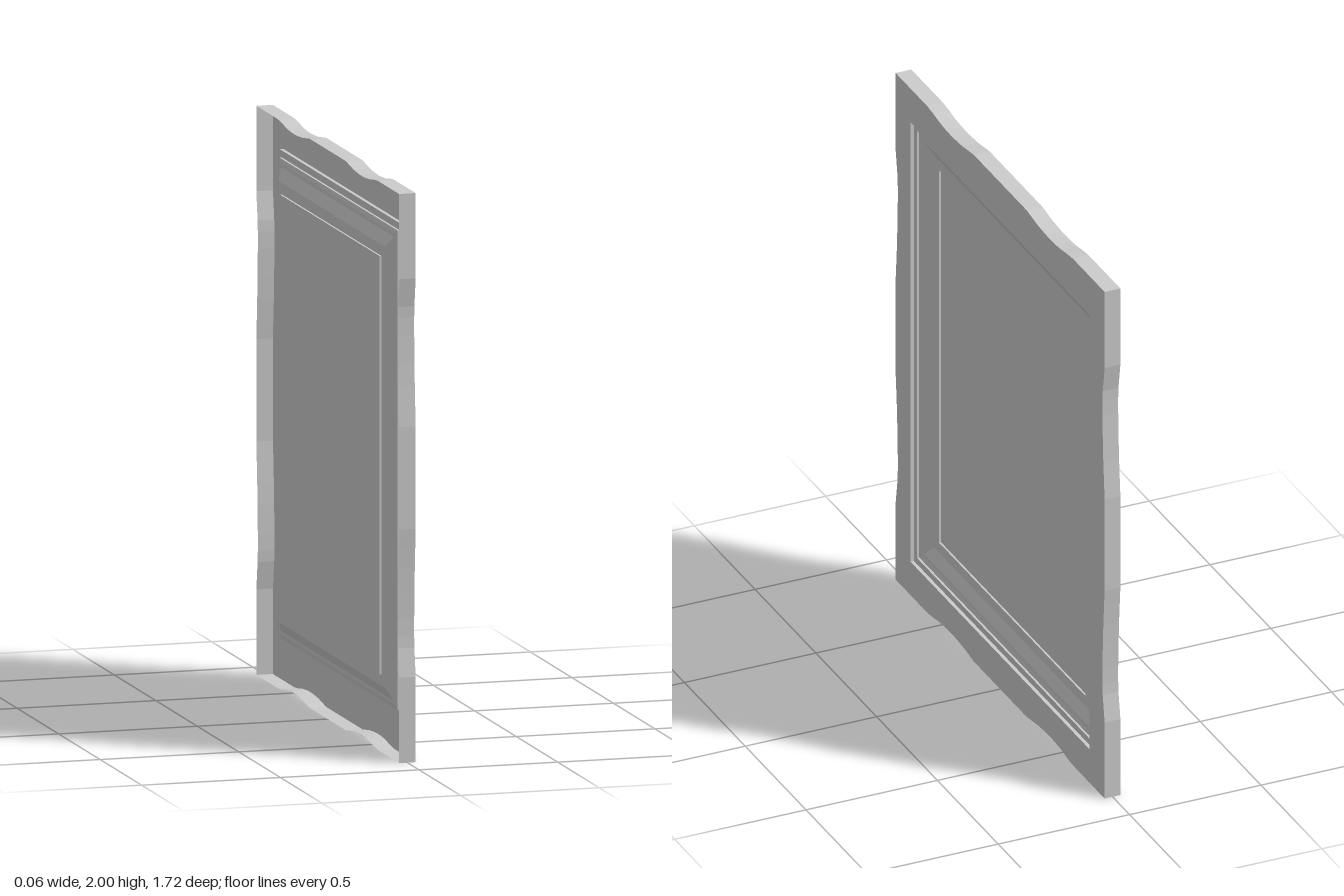
import * as THREE from 'three';

const HALF_W = 0.86, HALF_H = 1, HALF_T = 0.03;

// Scallop profiles: [distance from the middle of the edge, depth of the dip]
const SHORT_DIP = [[0.22, 0], [0.26, 0.006], [0.31, 0.013], [0.37, 0.017], [0.41, 0.018],
  [0.45, 0.017], [0.5, 0.013], [0.55, 0.005], [0.6, 0]];
const LONG_DIP = [[0.18, 0], [0.24, 0.005], [0.32, 0.011], [0.4, 0.015], [0.5, 0.018],
  [0.56, 0.018], [0.6, 0.016], [0.65, 0.008], [0.7, 0]];

// Moulding steps from the frame face to the panel: [half width, half height, depth]
const MOULDING = [
  [0.737, 0.868, 0], [0.737, 0.868, 0.013], [0.711, 0.843, 0.013], [0.711, 0.843, 0.021],
  [0.695, 0.828, 0.025], [0.68, 0.815, 0.025], [0.642, 0.775, 0.046],
  [0.602, 0.735, 0.046], [0.602, 0.735, 0.053],
];

const material = new THREE.MeshStandardMaterial({
  color: 0xcccccc, flatShading: true, side: THREE.DoubleSide,
});

// Wavy outline, counter-clockwise, one edge after another
function outline() {
  const points = [];
  const edge = (halfLength, dip, place) => {
    points.push(place(-halfLength, 0));
    [...dip].reverse().forEach(([t, d]) => points.push(place(-t, d)));
    dip.forEach(([t, d]) => points.push(place(t, d)));
  };
  const at = (x, y) => new THREE.Vector2(x, y);
  edge(HALF_W, SHORT_DIP, (t, d) => at(t, -HALF_H + d));
  edge(HALF_H, LONG_DIP, (t, d) => at(HALF_W - d, t));
  edge(HALF_W, SHORT_DIP, (t, d) => at(-t, HALF_H - d));
  edge(HALF_H, LONG_DIP, (t, d) => at(-HALF_W + d, -t));
  return points;
}

const rectangle = (w, h) => [[-w, -h], [w, -h], [w, h], [-w, h]].map(([x, y]) => new THREE.Vector2(x, y));

// Joins closed rings { points, z } with a band of quads
function loft(rings) {
  const position = [];
  for (let r = 0; r + 1 < rings.length; r++) {
    const a = rings[r], b = rings[r + 1], n = a.points.length;
    for (let i = 0; i < n; i++) {
      const j = (i + 1) % n;
      for (const [ring, k] of [[a, i], [a, j], [b, j], [a, i], [b, j], [b, i]]) {
        position.push(ring.points[k].x, ring.points[k].y, ring.z);
      }
    }
  }
  const geometry = new THREE.BufferGeometry();
  geometry.setAttribute('position', new THREE.Float32BufferAttribute(position, 3));
  geometry.computeVertexNormals();
  return geometry;
}

export function createModel() {
  const model = new THREE.Group();
  model.name = 'cabinetDoor';
  const door = new THREE.Group();
  door.name = 'doorShell';
  // The decorated face looks along +x
  door.rotation.y = Math.PI / 2;
  door.position.y = HALF_H;
  model.add(door);

  const add = (name, geometry) => {
    const mesh = new THREE.Mesh(geometry, material);
    mesh.name = name;
    door.add(mesh);
    return mesh;
  };

  // Flat frame face with its rectangular opening
  const rim = outline();
  const face = new THREE.Shape(rim);
  face.holes.push(new THREE.Path(rectangle(MOULDING[0][0], MOULDING[0][1]).reverse()));
  add('frameFace', new THREE.ShapeGeometry(face)).position.z = HALF_T;

  // Scalloped outer edge, open at the back
  add('outerEdge', loft([{ points: rim, z: -HALF_T }, { points: rim, z: HALF_T }]));

  // Stepped moulding sinking towards the panel
  add('moulding', loft(MOULDING.map(([w, h, d]) => ({ points: rectangle(w, h), z: HALF_T - d }))));

  // Recessed centre panel
  const [w, h, d] = MOULDING[MOULDING.length - 1];
  add('centrePanel', new THREE.PlaneGeometry(2 * w, 2 * h)).position.z = HALF_T - d;

  return model;
}
